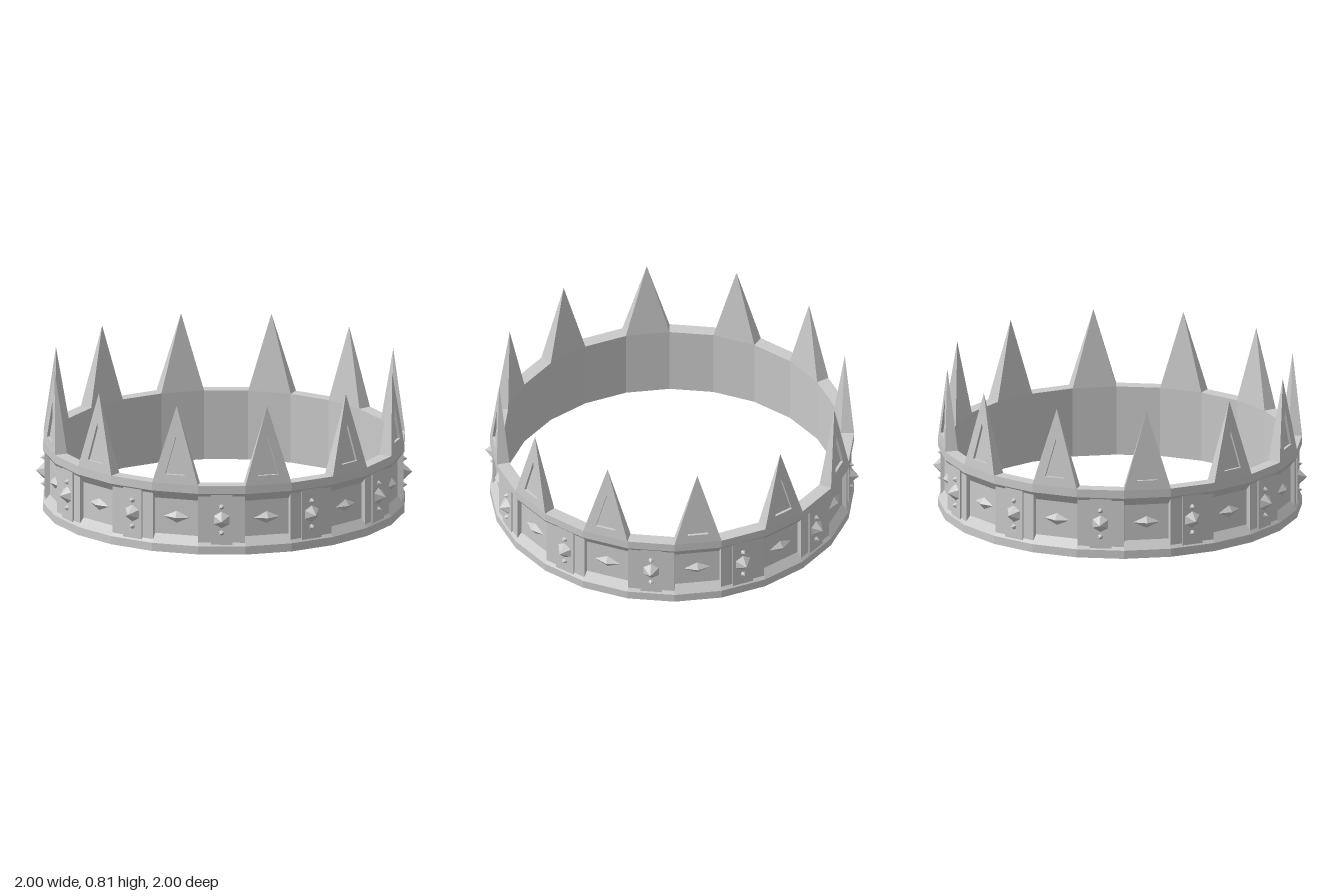
import * as THREE from 'three';

const SEGMENTS = 24;
const HALF = Math.PI / SEGMENTS;           // half the angle of one facet
const OFFSET = THREE.MathUtils.degToRad(-3.3);
const R_OUT = 0.97, R_IN = 0.9, RIM_TOP = 0.38, MID_Y = 0.19;

const material = new THREE.MeshStandardMaterial({ color: 0xcccccc, flatShading: true });

function part(name, geometry, parent, x = 0, y = 0, z = 0) {
  const mesh = new THREE.Mesh(geometry, material);
  mesh.name = name;
  mesh.position.set(x, y, z);
  parent.add(mesh);
  return mesh;
}

// Flat-faced geometry from convex polygons, corners counter-clockwise
function facets(polygons) {
  const pos = [];
  for (const p of polygons) {
    for (let i = 1; i < p.length - 1; i++) pos.push(...p[0], ...p[i], ...p[i + 1]);
  }
  const g = new THREE.BufferGeometry();
  g.setAttribute('position', new THREE.Float32BufferAttribute(pos, 3));
  g.computeVertexNormals();
  return g;
}

// Pyramid with its base on z = 0 and its tip towards +z
function gem(rx, ry, height, sides) {
  return new THREE.ConeGeometry(1, 1, sides)
    .translate(0, 0.5, 0)
    .rotateX(Math.PI / 2)
    .scale(rx, ry, height);
}

// Four-sided spike with a sunken triangle in its outer face
function spikeGeometry() {
  const corner = (side, r) => [side * r * Math.sin(HALF), RIM_TOP, r * Math.cos(HALF)];
  const tip = [0, 0.805, 0.93];
  const a = corner(-1, R_OUT), b = corner(1, R_OUT);
  const c = corner(1, R_IN), d = corner(-1, R_IN);
  const onFace = (x, y, depth) =>
    [x, y, a[2] + (tip[2] - a[2]) * (y - RIM_TOP) / (tip[1] - RIM_TOP) - depth];
  const triangle = (depth) =>
    [onFace(-0.056, 0.43, depth), onFace(0.056, 0.43, depth), onFace(0, 0.64, depth)];
  const outer = [a, b, tip], inner = triangle(0), floor = triangle(0.014);
  const polygons = [[b, c, tip], [c, d, tip], [d, a, tip], floor];
  for (let i = 0; i < 3; i++) {
    const j = (i + 1) % 3;
    polygons.push([outer[i], outer[j], inner[j], inner[i]]);
    polygons.push([inner[i], inner[j], floor[j], floor[i]]);
  }
  return facets(polygons);
}

export function createModel() {
  const crown = new THREE.Group();
  crown.name = 'crown';

  // Faceted band: plain inside, bevelled channel between two rims outside
  const profile = [
    [R_IN, 0], [R_OUT, 0], [R_OUT, 0.045], [0.935, 0.092], [0.935, 0.288],
    [R_OUT, 0.335], [R_OUT, RIM_TOP], [R_IN, RIM_TOP], [R_IN, 0],
  ].map(([x, y]) => new THREE.Vector2(x, y));
  part('band', new THREE.LatheGeometry(profile, SEGMENTS, OFFSET + HALF), crown);

  const spike = spikeGeometry();
  const diamond = gem(0.075, 0.034, 0.028, 4);
  const block = new THREE.BoxGeometry(2 * 0.957 * Math.sin(HALF), 0.288, 0.045);
  const plate = new THREE.BoxGeometry(0.116, 0.288, 0.03);
  const stud = gem(0.052, 0.05, 0.05, 6);
  const smallStud = gem(0.016, 0.016, 0.022, 6);

  for (let i = 0; i < SEGMENTS; i++) {
    const section = new THREE.Group();
    section.rotation.y = OFFSET + i * 2 * HALF;
    crown.add(section);
    if (i % 2) {
      // Spike above a sunken panel with a diamond
      section.name = 'spikeSection';
      part('spike', spike, section);
      part('diamond', diamond, section, 0, MID_Y, 0.926);
    } else {
      // Raised block and plate with one large and two small studs
      section.name = 'studSection';
      part('block', block, section, 0, MID_Y, 0.949 - 0.0225);
      part('plate', plate, section, 0, MID_Y, 0.956 - 0.015);
      part('stud', stud, section, 0, MID_Y, 0.952);
      for (const s of [-1, 1]) {
        part('smallStud', smallStud, section, 0, MID_Y + s * 0.072, 0.955);
      }
    }
  }
  return crown;
}
